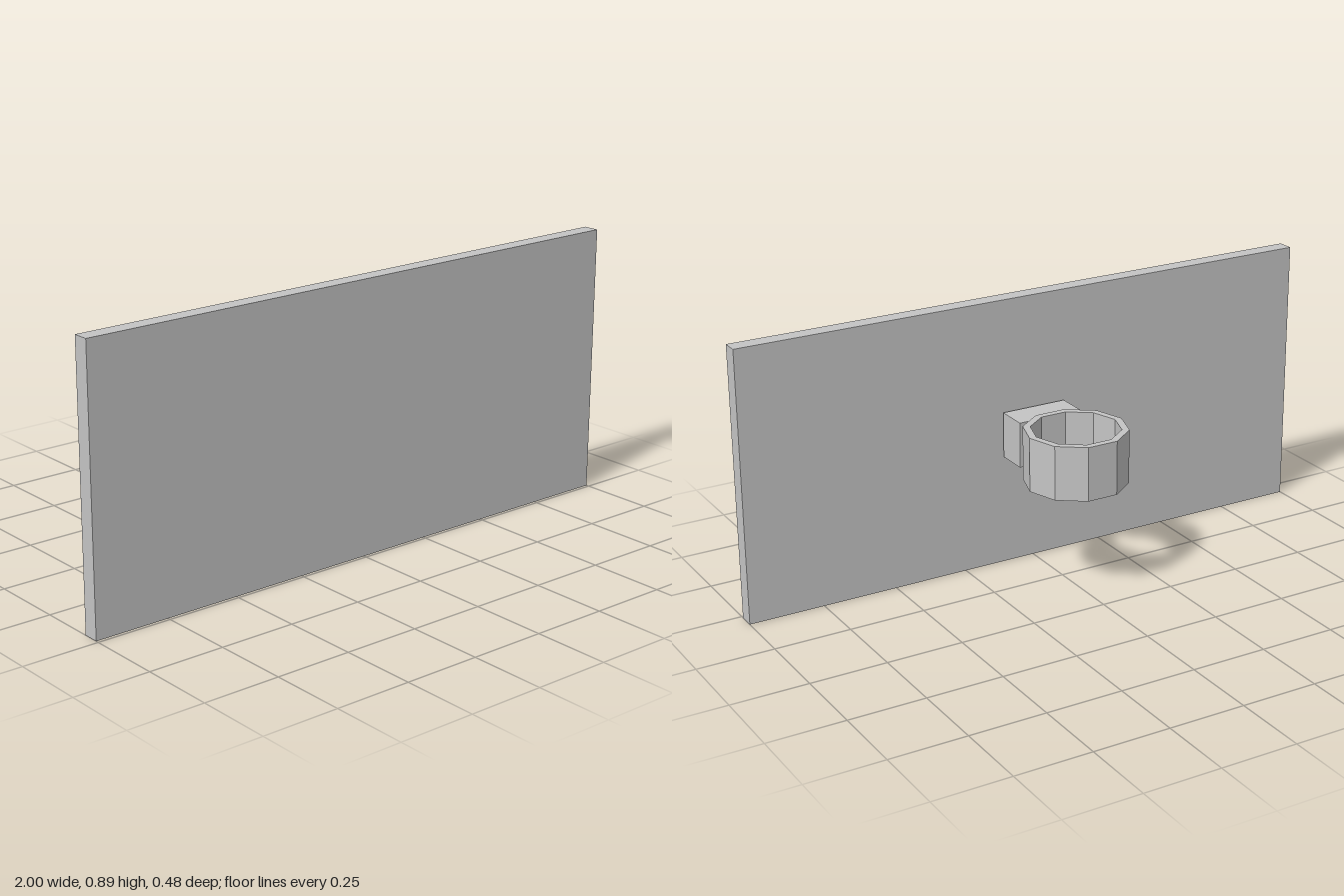
import * as THREE from 'three';

const SIDES = 10;

// Regular polygon outline with a corner on the x axis
function polygon(radius) {
  return Array.from({ length: SIDES }, (_, i) => {
    const a = (i / SIDES) * Math.PI * 2;
    return new THREE.Vector2(Math.cos(a) * radius, Math.sin(a) * radius);
  });
}

export function createModel() {
  const model = new THREE.Group();
  model.name = 'panelWithRingMount';
  const grey = new THREE.MeshStandardMaterial({ color: 0xc4c4c4 });
  grey.name = 'lightGrey';

  function add(name, geometry, x, y, z) {
    const mesh = new THREE.Mesh(geometry, grey);
    mesh.name = name;
    mesh.position.set(x, y, z);
    model.add(mesh);
  }

  // Large flat panel
  add('panel', new THREE.BoxGeometry(2, 0.89, 0.053), 0, 0.445, 0.2135);

  // Block between the panel and the ring, with a small gap to the panel
  add('mountBlock', new THREE.BoxGeometry(0.222, 0.15, 0.105), 0, 0.445, 0.1255);

  // Upright ten-sided ring, open through the middle
  const outline = new THREE.Shape(polygon(0.1655));
  outline.holes.push(new THREE.Path(polygon(0.142)));
  const ring = new THREE.ExtrudeGeometry(outline, { depth: 0.177, bevelEnabled: false });
  ring.rotateX(-Math.PI / 2);
  add('ring', ring, 0, 0.3565, -0.0815);

  return model;
}
